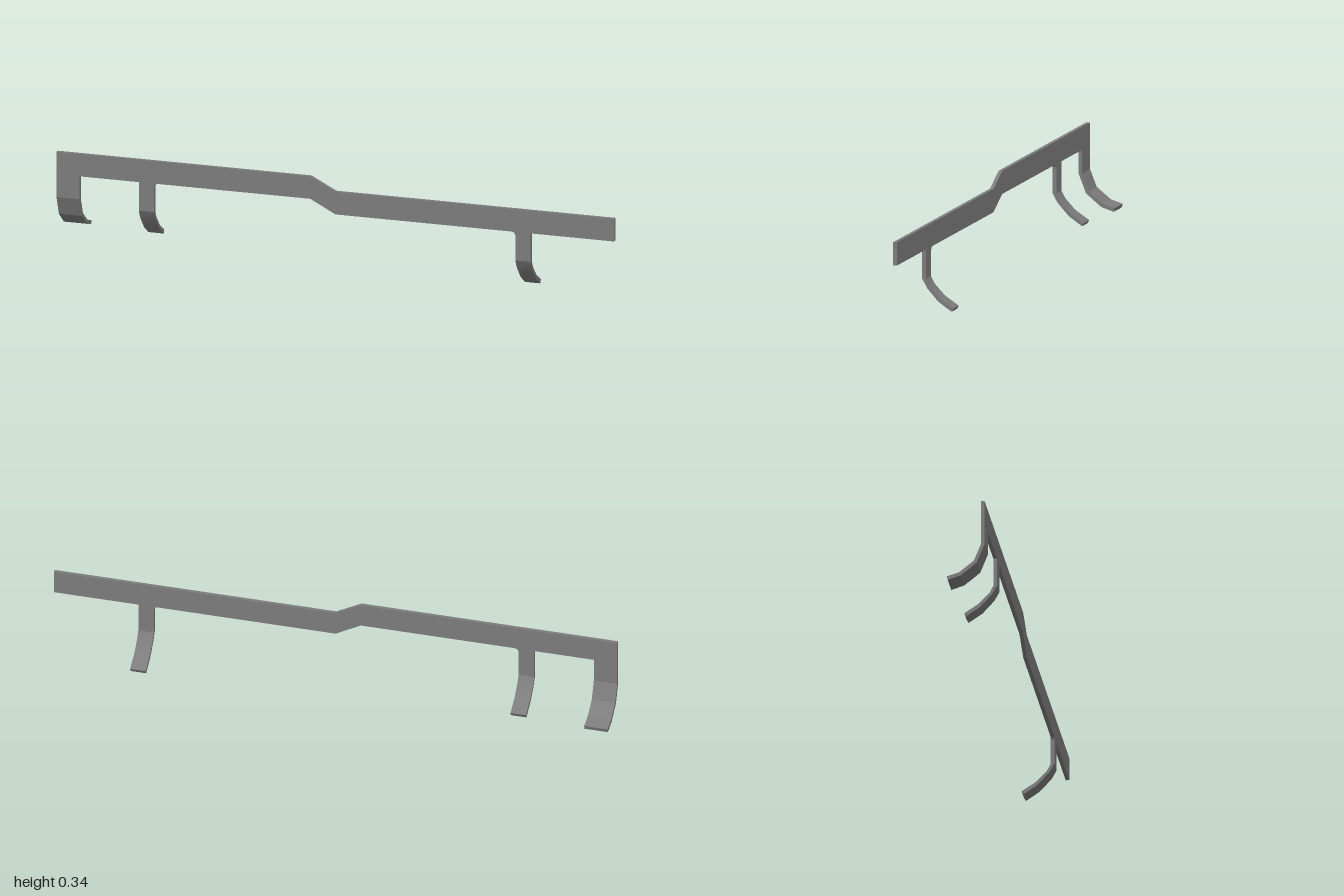
import * as THREE from 'three';
import { toCreasedNormals } from 'three/addons/utils/BufferGeometryUtils.js';

const BACK = 0.053, FRONT = 0.066;

// Curled strip: a side profile of [z, y] points extruded across x
function curl(name, profile, xMin, xMax, dy, crease, material) {
  const shape = new THREE.Shape(profile.map(([z, y]) => new THREE.Vector2(z, y + dy)));
  const geometry = new THREE.ExtrudeGeometry(shape, { depth: xMax - xMin, bevelEnabled: false });
  geometry.rotateY(-Math.PI / 2);
  geometry.translate(xMax, 0, 0);
  const mesh = new THREE.Mesh(toCreasedNormals(geometry, crease), material);
  mesh.name = name;
  return mesh;
}

export function createModel() {
  const group = new THREE.Group();
  group.name = 'hookedRail';
  const steel = new THREE.MeshStandardMaterial({ color: 0x7c7c7c });
  steel.name = 'grey steel';

  // Flat stepped bar with the straight upper legs of the hooks
  const r = 0.016;
  const s = new THREE.Shape();
  s.moveTo(-1, 0.337);
  s.lineTo(-1, 0.175);
  s.lineTo(-0.917, 0.175);
  s.lineTo(-0.917, 0.257);
  s.lineTo(-0.705, 0.257);
  s.lineTo(-0.705, 0.155);
  s.lineTo(-0.65, 0.155);
  s.lineTo(-0.65, 0.257 - r);
  s.quadraticCurveTo(-0.65, 0.257, -0.65 + r, 0.257);
  s.lineTo(-0.09, 0.257);
  s.lineTo(0, 0.21);
  s.lineTo(0.645 - r, 0.21);
  s.quadraticCurveTo(0.645, 0.21, 0.645, 0.21 - r);
  s.lineTo(0.645, 0.108);
  s.lineTo(0.7, 0.108);
  s.lineTo(0.7, 0.21);
  s.lineTo(1, 0.21);
  s.lineTo(1, 0.291);
  s.lineTo(0, 0.291);
  s.lineTo(-0.09, 0.337);
  s.closePath();
  const plate = new THREE.ExtrudeGeometry(s, { depth: FRONT - BACK, bevelEnabled: false, curveSegments: 5 });
  plate.translate(0, 0, BACK);
  const bar = new THREE.Mesh(plate, steel);
  bar.name = 'bar';
  group.add(bar);

  // Two narrow hooks, smoothly shaded around the bend
  const narrow = [
    [BACK, 0.108], [0.04, 0.083], [0.003, 0.044], [-0.047, 0.012],
    [-0.04, 0], [0.008, 0.032], [0.049, 0.077], [FRONT, 0.108],
  ];
  group.add(curl('rightNarrowHook', narrow, -0.705, -0.65, 0.047, 0.8, steel));
  group.add(curl('leftNarrowHook', narrow, 0.645, 0.7, 0, 0.8, steel));

  // Wide end hook with distinct folds
  const wide = [
    [BACK, 0.175], [0.029, 0.115], [-0.022, 0.075], [-0.065, 0.062],
    [-0.061, 0.049], [-0.016, 0.063], [0.039, 0.107], [FRONT, 0.175],
  ];
  group.add(curl('wideEndHook', wide, -1, -0.917, 0, 0.1, steel));

  return group;
}
